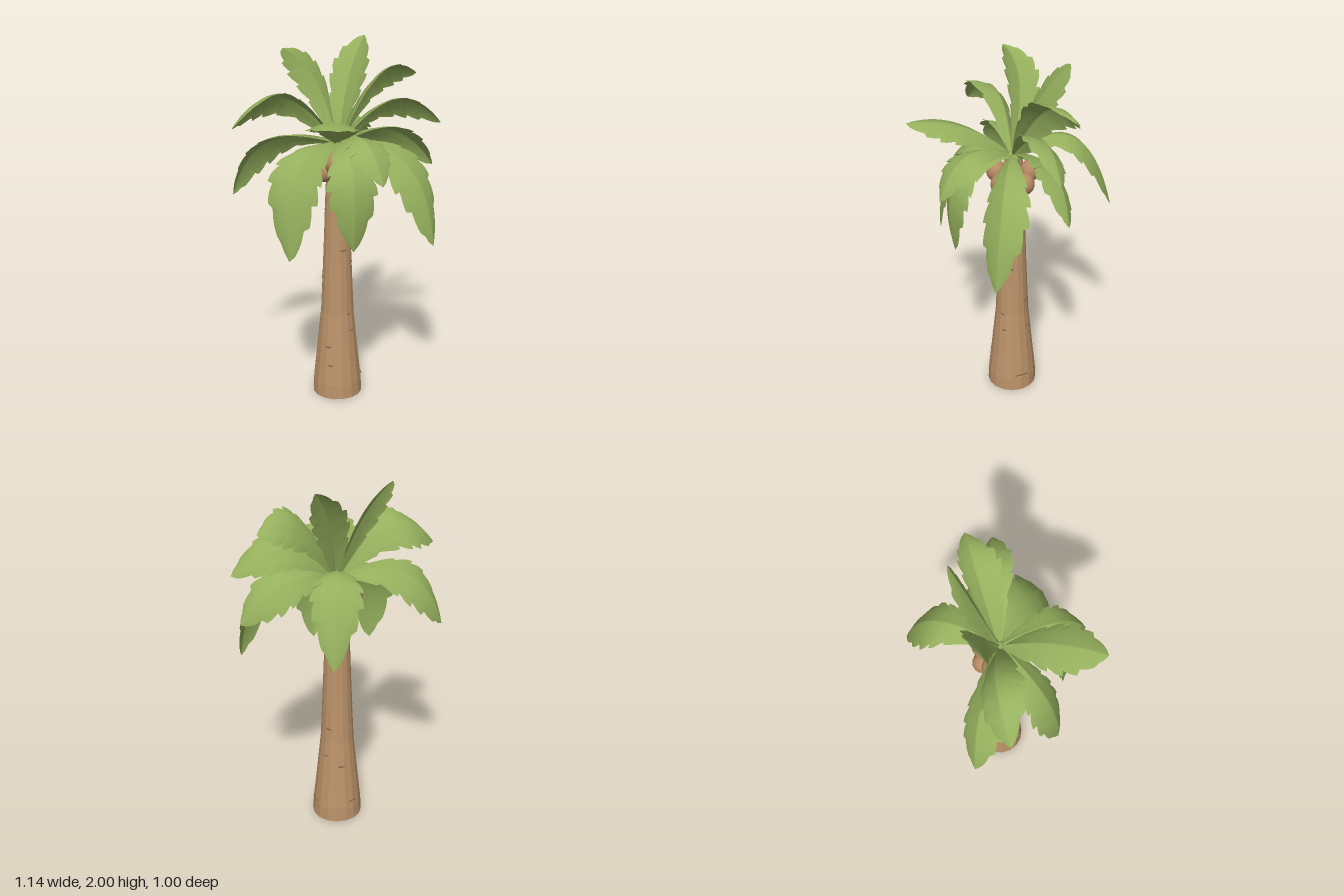
import * as THREE from 'three';

const V = (a) => new THREE.Vector3(...a);

// Leaf blade swept along a curve through root, mid and tip, with barbed edges and a raised midrib.
// "facing" is the direction its upper surface leans towards.
function frondGeometry(root, mid, tip, halfWidth, facing) {
  const control = mid.clone().multiplyScalar(2).addScaledVector(root, -0.5).addScaledVector(tip, -0.5);
  const spine = new THREE.QuadraticBezierCurve3(root, control, tip);
  const side = tip.clone().sub(root).cross(facing).normalize();
  const across = [-1, -0.55, -0.045, 0, 0.045, 0.55, 1];
  const barb = [0.86, 0.91, 0.97, 1.02, 1.06];
  const steps = 30;
  const position = [], index = [];

  for (let i = 0; i <= steps; i++) {
    const t = i / steps;
    const p = spine.getPoint(t), tangent = spine.getTangent(t);
    const normal = side.clone().cross(tangent).normalize();
    const outline = Math.pow(Math.max(0, Math.sin(Math.PI * Math.pow(t, 1.25))), 0.7);
    across.forEach((u) => {
      const phase = (u < 0 ? i : i + 2) % barb.length;
      const edge = Math.abs(u) === 1 && t > 0.25;
      const w = (halfWidth * outline + 0.012 * (1 - t)) * (edge ? barb[phase] : 1);
      const sweep = edge && phase === 4 ? 0.075 : 0.035;
      const ridge = u === 0 ? 0.012 * (1 - t) : 0;
      const q = p.clone()
        .addScaledVector(side, u * w)
        .addScaledVector(tangent, Math.abs(u) * outline * sweep * (1 - t))
        .addScaledVector(normal, ridge - 0.32 * w * u * u);
      position.push(q.x, q.y, q.z);
    });
  }
  const n = across.length;
  for (let i = 0; i < steps; i++) {
    for (let j = 0; j < n - 1; j++) {
      const a = i * n + j, b = a + 1, c = a + n, d = c + 1;
      index.push(a, b, c, b, d, c);
    }
  }
  const geometry = new THREE.BufferGeometry();
  geometry.setAttribute('position', new THREE.Float32BufferAttribute(position, 3));
  geometry.setIndex(index);
  geometry.computeVertexNormals();
  return geometry;
}

export function createModel() {
  const tree = new THREE.Group();
  tree.name = 'palmTree';

  const bark = new THREE.MeshStandardMaterial({ name: 'bark brown', color: 0xbc936a, flatShading: true });
  const notchBrown = new THREE.MeshStandardMaterial({ name: 'notch brown', color: 0x8a6848 });
  const shell = new THREE.MeshStandardMaterial({ name: 'coconut brown', color: 0xb68a64 });
  const leaf = new THREE.MeshStandardMaterial({ name: 'leaf green', color: 0x95b05d, side: THREE.DoubleSide });

  // Trunk, flared towards the ground
  const profile = [[0, 0], [0.139, 0], [0.136, 0.08], [0.115, 0.28], [0.093, 0.5], [0.084, 0.7],
    [0.074, 0.95], [0.065, 1.2], [0.057, 1.36], [0.045, 1.43], [0, 1.45]];
  const trunk = new THREE.Mesh(
    new THREE.LatheGeometry(profile.map(([r, y]) => new THREE.Vector2(r, y)), 16), bark);
  trunk.name = 'trunk';
  trunk.position.set(-0.005, 0, -0.018);
  tree.add(trunk);

  // Thin bark notches scattered around the trunk: angle from the front, height, length
  const radiusAt = (y) => {
    const k = profile.findIndex((p, i) => i > 1 && p[1] >= y);
    const [r0, y0] = profile[k - 1], [r1, y1] = profile[k];
    return r0 + (r1 - r0) * (y - y0) / (y1 - y0);
  };
  const notches = [[-0.7, 0.31, 0.04], [-0.55, 0.2, 0.03], [0.5, 0.5, 0.03], [0.7, 0.4, 0.03], [0.2, 0.88, 0.04],
    [1.57, 0.1, 0.09], [1.1, 0.8, 0.02], [2.2, 0.58, 0.04], [2.1, 0.41, 0.03], [1.4, 1.21, 0.05],
    [-2.4, 0.93, 0.05], [3.0, 0.35, 0.04], [-1.8, 0.7, 0.04], [-2.8, 0.12, 0.05], [-1.5, 1.1, 0.04]];
  notches.forEach(([angle, y, length]) => {
    const notch = new THREE.Mesh(new THREE.SphereGeometry(1, 10, 6), notchBrown);
    notch.name = 'barkNotch';
    const r = radiusAt(y) * 0.985;
    notch.scale.set(length / 2, 0.005, 0.004);
    notch.position.set(Math.sin(angle) * r, y, Math.cos(angle) * r);
    notch.rotation.y = angle;
    trunk.add(notch);
  });

  // Ring of coconuts under the crown
  for (let i = 0; i < 8; i++) {
    const a = (i / 8) * Math.PI * 2 + 0.35;
    const coconut = new THREE.Mesh(new THREE.SphereGeometry(0.054, 14, 10), shell);
    coconut.name = 'coconut';
    coconut.position.set(Math.sin(a) * 0.085, i % 2 ? 1.375 : 1.325, Math.cos(a) * 0.09 - 0.02);
    coconut.scale.y = 1.1;
    tree.add(coconut);
  }

  const crown = new THREE.Group();
  crown.name = 'crown';
  tree.add(crown);

  // Green bud where the fronds meet
  const bud = new THREE.Mesh(new THREE.SphereGeometry(0.042, 12, 8), leaf);
  bud.name = 'bud';
  bud.position.set(0, 1.445, -0.018);
  crown.add(bud);

  // Fronds: mid point, tip, half width, facing
  const up = [0, 1, 0], leanBack = [0, 1, -0.75], leanFront = [0, 1, 0.55];
  const fronds = [
    [[-0.11, 1.8, -0.11], [-0.28, 1.97, -0.09], 0.095, [0.25, 0.8, 0.8]],
    [[0.08, 1.78, -0.13], [0.2, 2.0, -0.24], 0.09, [0, 0.3, 1]],
    [[0.23, 1.79, -0.1], [0.47, 1.8, -0.15], 0.12, leanBack],
    [[0.3, 1.67, -0.04], [0.57, 1.55, -0.01], 0.115, leanBack],
    [[0.32, 1.5, -0.09], [0.55, 1.3, -0.07], 0.12, leanBack],
    [[0.32, 1.38, 0.18], [0.45, 0.95, 0.28], 0.13, leanFront],
    [[0, 1.38, 0.3], [0, 0.97, 0.32], 0.125, up],
    [[-0.27, 1.38, 0.2], [-0.33, 0.93, 0.28], 0.13, leanFront],
    [[-0.36, 1.46, -0.14], [-0.55, 1.17, -0.18], 0.125, leanBack],
    [[-0.3, 1.72, -0.05], [-0.57, 1.58, 0], 0.13, leanBack],
    [[-0.08, 1.64, 0.24], [-0.17, 1.67, 0.5], 0.13, up],
    [[0.07, 1.54, 0.27], [0.12, 1.35, 0.44], 0.11, up],
    [[0.12, 1.55, -0.32], [0.21, 1.17, -0.5], 0.125, up],
  ];
  fronds.forEach(([mid, tip, halfWidth, facing]) => {
    const root = new THREE.Vector3(tip[0] * 0.03, 1.47, tip[2] * 0.03 - 0.015);
    const frond = new THREE.Mesh(frondGeometry(root, V(mid), V(tip), halfWidth, V(facing)), leaf);
    frond.name = 'frond';
    crown.add(frond);
  });
  return tree;
}
